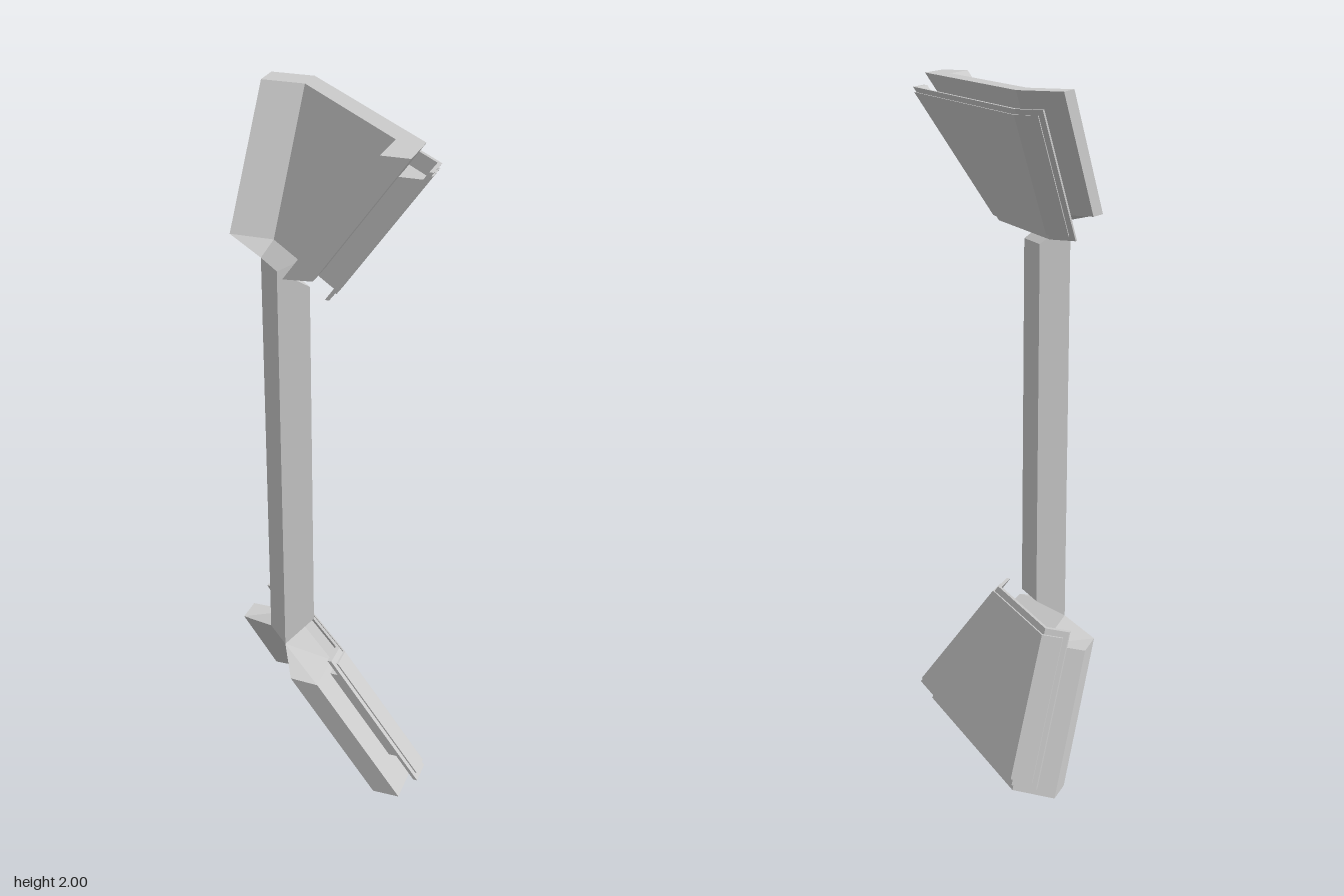
import * as THREE from 'three';

const V = (x, y, z) => new THREE.Vector3(x, y, z);

// Flat-shaded solid lofted through matching rings, capped at both ends.
// lower = true mirrors it about mid height.
function loft(name, rings, lower) {
  const pos = [];
  const tri = (a, b, c) => {
    for (const p of lower ? [a, c, b] : [a, b, c]) pos.push(p.x, lower ? 2 - p.y : p.y, p.z);
  };
  const n = rings[0].length;
  for (let j = 0; j + 1 < rings.length; j++) {
    const r = rings[j], s = rings[j + 1];
    for (let i = 0; i < n; i++) {
      const k = (i + 1) % n;
      tri(r[i], r[k], s[k]);
      tri(r[i], s[k], s[i]);
    }
  }
  const first = rings[0], last = rings[rings.length - 1];
  for (let i = 1; i + 1 < n; i++) {
    tri(first[0], first[i + 1], first[i]);
    tri(last[0], last[i], last[i + 1]);
  }
  const geo = new THREE.BufferGeometry();
  geo.setAttribute('position', new THREE.Float32BufferAttribute(pos, 3));
  geo.computeVertexNormals();
  const mesh = new THREE.Mesh(geo, new THREE.MeshStandardMaterial({
    color: 0xcccccc, flatShading: true, side: THREE.DoubleSide,
  }));
  mesh.name = name;
  return mesh;
}

// Four corners of the folded section at height y: wing, diagonal, wing.
// The section slides backwards as it rises.
function fold(y, offset, bend, end) {
  const z = 0.07 - (y - 1.64) * 0.722 + offset;
  return [V(-end, y, z), V(-bend, y, z), V(-z, y, bend), V(-z, y, end)];
}

// Folded plate between two offsets and two heights
function plate(name, front, back, y0, y1, bend, end, lower) {
  const rows = [[y1, front], [y0, front], [y0, back], [y1, back]]
    .map(([y, o]) => fold(y, o, bend, end));
  return loft(name, [0, 1, 2, 3].map((j) => rows.map((r) => r[j])), lower);
}

function createHead(lower) {
  const head = new THREE.Group();
  head.name = lower ? 'lowerHead' : 'upperHead';

  // Thick folded shell with a lip that runs down to the post
  const mid = fold(1.64, 0, 0.19, 0.32);
  const lip = [mid[0], V(-0.205, 1.608, 0.13), V(-0.13, 1.608, 0.205), mid[3]];
  const rows = [fold(2, 0, 0.19, 0.32), mid, lip,
    fold(1.645, -0.08, 0.19, 0.32), fold(2, -0.08, 0.19, 0.32)];
  head.add(loft('shell', [0, 1, 2, 3].map((j) => rows.map((r) => r[j])), lower));

  // Recessed spacer, thin back panel and its raised inset
  head.add(plate('spacer', -0.078, -0.146, 1.66, 1.92, 0.2, 0.235, lower));
  head.add(plate('backPanel', -0.145, -0.157, 1.58, 1.957, 0.205, 0.28, lower));
  head.add(plate('panelInset', -0.156, -0.162, 1.595, 1.942, 0.2, 0.265, lower));
  return head;
}

export function createModel() {
  const model = new THREE.Group();
  model.name = 'cornerPost';

  // Diagonal post with slanted ends
  const d = 0.068;
  const side = (x, z) => [
    V(x, 1.608, z), V(x, 0.392, z), V(x + d, 0.455, z - d), V(x + d, 1.545, z - d),
  ];
  model.add(loft('post', [side(-0.205, 0.13), side(-0.13, 0.205)], false));

  model.add(createHead(false), createHead(true));
  return model;
}
